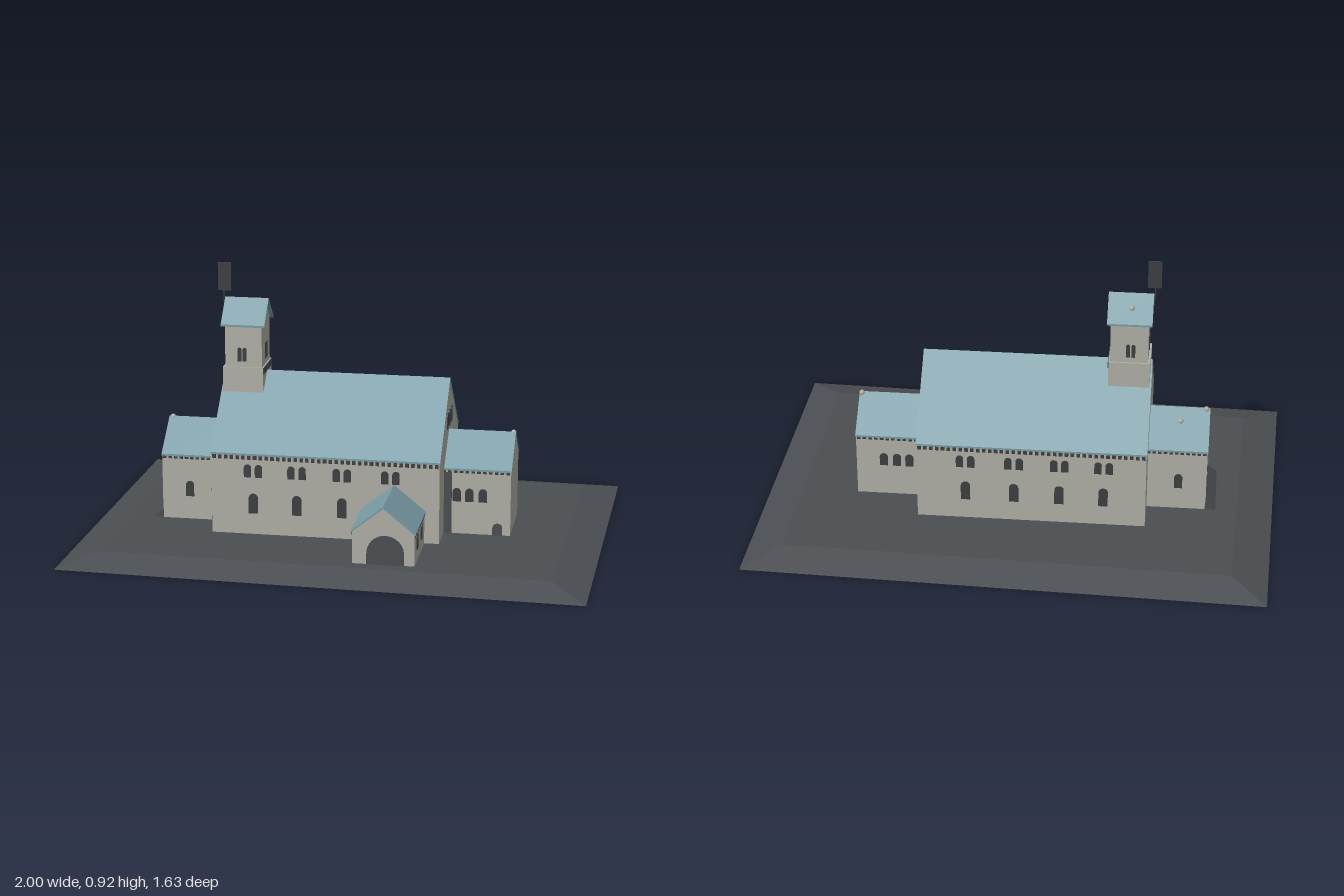
import * as THREE from 'three';

const mat = (name, color) => {
  const m = new THREE.MeshStandardMaterial({ color });
  m.name = name;
  return m;
};

export function createModel() {
  const wall = mat('plaster', 0xb0b0a7);
  const roof = mat('blue grey roof', 0x7a9ca6);
  const ground = mat('dark ground', 0x4b4e52);
  const dark = mat('window dark', 0x3d3f41);

  const model = new THREE.Group();
  const church = new THREE.Group();
  church.name = 'church';
  church.position.set(0.006, 0, 0.005);
  church.rotation.y = -0.206;
  model.add(church);

  const add = (parent, name, geo, material, x = 0, y = 0, z = 0) => {
    const m = new THREE.Mesh(geo, material);
    m.name = name;
    m.position.set(x, y, z);
    parent.add(m);
    return m;
  };
  const box = (name, material, x0, x1, y0, y1, z0, z1) =>
    add(church, name, new THREE.BoxGeometry(x1 - x0, y1 - y0, z1 - z0), material,
      (x0 + x1) / 2, (y0 + y1) / 2, (z0 + z1) / 2);
  const prism = (points, depth) => {
    const shape = new THREE.Shape(points.map(p => new THREE.Vector2(...p)));
    return new THREE.ExtrudeGeometry(shape, { depth, bevelEnabled: false }).translate(0, 0, -depth / 2);
  };

  // Gabled volume: walls, a thin folded roof and an optional dentil frieze below each eave
  function gabled(name, o) {
    const g = new THREE.Group();
    g.name = name;
    g.position.set(o.x, 0, o.z);
    if (!o.alongZ) g.rotation.y = Math.PI / 2;
    church.add(g);
    const { half: w, length, base = 0.02, eave, ridge, over = 0.002, t = 0.007 } = o;
    const e = eave + (ridge - eave) * over / (w + over);
    add(g, name + 'Walls', prism([[-w, base], [w, base], [w, e - t * 0.5], [0, ridge - t * 0.5], [-w, e - t * 0.5]], length), wall);
    const r = w + over;
    add(g, name + 'Roof', prism([[-r, eave - t], [0, ridge - t], [r, eave - t], [r, eave], [0, ridge], [-r, eave]],
      length + 2 * over), roof);
    if (!o.frieze) return;
    const count = Math.round(length / 0.02), dentil = new THREE.BoxGeometry(0.004, o.frieze, 0.012);
    for (const s of [-1, 1])
      for (let i = 0; i < count; i++)
        add(g, name + 'Frieze', dentil, dark, s * w, eave - t - o.frieze / 2, ((i + 0.5) / count - 0.5) * length);
  }

  gabled('nave', { x: -0.059, z: -0.0185, half: 0.25, length: 0.78, eave: 0.318, ridge: 0.547, frieze: 0.014 });
  gabled('chancel', { x: 0.43, z: -0.0165, half: 0.126, length: 0.258, eave: 0.264, ridge: 0.366, frieze: 0.008 });
  gabled('westPorch', { x: -0.537, z: -0.0175, half: 0.124, length: 0.23, eave: 0.264, ridge: 0.366, frieze: 0.008 });
  gabled('southPorch', { x: 0.177, z: 0.34, half: 0.104, length: 0.252, eave: 0.146, ridge: 0.234, over: 0.004, frieze: 0.009, alongZ: true });
  gabled('towerTop', { x: -0.373, z: -0.021, half: 0.067, length: 0.128, base: 0.45, eave: 0.72, ridge: 0.8, over: 0.012 });

  // Wider lower stage of the tower with ledge and dark panel above the ridge
  box('towerLowerStage', wall, -0.445, -0.304, 0.4, 0.57, -0.094, 0.052);
  box('towerPanel', ground, -0.305, -0.302, 0.547, 0.57, -0.094, 0.052);

  // Round-headed opening as a thin plate; turn is its facing about y
  function arch(name, x, y0, z, turn, w, h, material = dark) {
    const r = w / 2, s = new THREE.Shape();
    s.moveTo(-r, 0);
    s.lineTo(r, 0);
    s.lineTo(r, h - r);
    s.absarc(0, h - r, r, 0, Math.PI, false);
    s.closePath();
    const geo = new THREE.ExtrudeGeometry(s, { depth: 0.006, bevelEnabled: false, curveSegments: 6 }).translate(0, 0, -0.003);
    add(church, name, geo, material, x, y0, z).rotation.y = turn;
  }
  const S = 0, E = Math.PI / 2, N = Math.PI, W = -Math.PI / 2;

  // Nave windows: single below, paired above
  for (const [z, turn] of [[0.2315, S], [-0.2685, N]])
    for (const x of [-0.305, -0.155, 0, 0.165]) {
      arch('naveLowerWindow', x, 0.107, z, turn, 0.032, 0.07);
      for (const d of [-0.019, 0.019]) arch('naveUpperWindow', x + d, 0.235, z, turn, 0.025, 0.045);
    }
  for (const d of [-0.05, 0, 0.05]) arch('gableWindow', 0.331, 0.38, -0.014 + d, E, 0.028, 0.057);

  // Chancel and west porch windows, with dark patches beside the nave
  for (const s of [-1, 1]) {
    const turn = s > 0 ? S : N;
    for (const x of [0.375, 0.418, 0.464]) arch('chancelWindow', x, 0.148, -0.0165 + s * 0.126, turn, 0.028, 0.047);
    arch('porchWindow', -0.555, 0.115, -0.0175 + s * 0.124, turn, 0.028, 0.055);
  }
  arch('chancelLowDoor', 0.515, 0.03, 0.1095, S, 0.034, 0.045, ground);
  box('chancelPatch', ground, 0.33, 0.358, 0.03, 0.25, 0.106, 0.112);
  box('porchPatch', ground, -0.478, -0.449, 0.03, 0.15, 0.103, 0.109);

  // West door, side lights and sloping doorstep
  arch('westDoor', -0.652, 0.04, -0.018, W, 0.095, 0.15);
  for (const d of [-0.078, 0.078]) arch('westSideWindow', -0.652, 0.1, -0.018 + d, W, 0.022, 0.06);
  add(church, 'doorstep', prism([[-0.69, 0.03], [-0.65, 0.03], [-0.65, 0.064]], 0.252), ground, 0, 0, -0.0175);

  // South porch entrance and side windows
  arch('southEntrance', 0.184, 0.03, 0.466, S, 0.125, 0.104, ground);
  for (const [x, turn] of [[0.281, E], [0.073, W]])
    for (const z of [0.307, 0.412]) arch('southPorchWindow', x, 0.076, z, turn, 0.027, 0.054);

  // Belfry openings
  for (const d of [-0.009, 0.009]) {
    arch('belfryWindow', -0.378 + d, 0.59, 0.046, S, 0.013, 0.048);
    arch('belfryWindow', -0.378 + d, 0.59, -0.088, N, 0.013, 0.048);
  }
  for (const d of [-0.012, 0, 0.012]) {
    arch('belfryWindow', -0.309, 0.59, -0.021 + d, E, 0.007, 0.058);
    arch('belfryWindow', -0.437, 0.59, -0.021 + d, W, 0.007, 0.058);
  }

  // Small pale studs on the roofs
  for (const [x, y, z] of [[-0.641, 0.362, -0.02], [0.553, 0.362, -0.02], [-0.554, 0.332, -0.058], [-0.378, 0.761, -0.058]])
    add(church, 'roofStud', new THREE.SphereGeometry(0.01, 8, 6), wall, x, y, z);

  // Weather vane
  add(church, 'vanePole', new THREE.CylinderGeometry(0.003, 0.003, 0.14, 6), dark, -0.453, 0.85, -0.021);
  box('vaneFlag', dark, -0.473, -0.427, 0.822, 0.92, -0.024, -0.018);

  // Ground slab with sloping edges
  const slab = new THREE.BoxGeometry(1.756, 0.033, 1.258).translate(0, 0.0165, 0);
  const p = slab.attributes.position;
  for (let i = 0; i < p.count; i++) if (p.getY(i) > 0.01) {
    p.setX(i, p.getX(i) - Math.sign(p.getX(i)) * 0.122);
    p.setZ(i, p.getZ(i) - Math.sign(p.getZ(i)) * 0.117);
  }
  slab.computeVertexNormals();
  add(model, 'groundSlab', slab, ground).rotation.y = -0.2332;

  return model;
}
